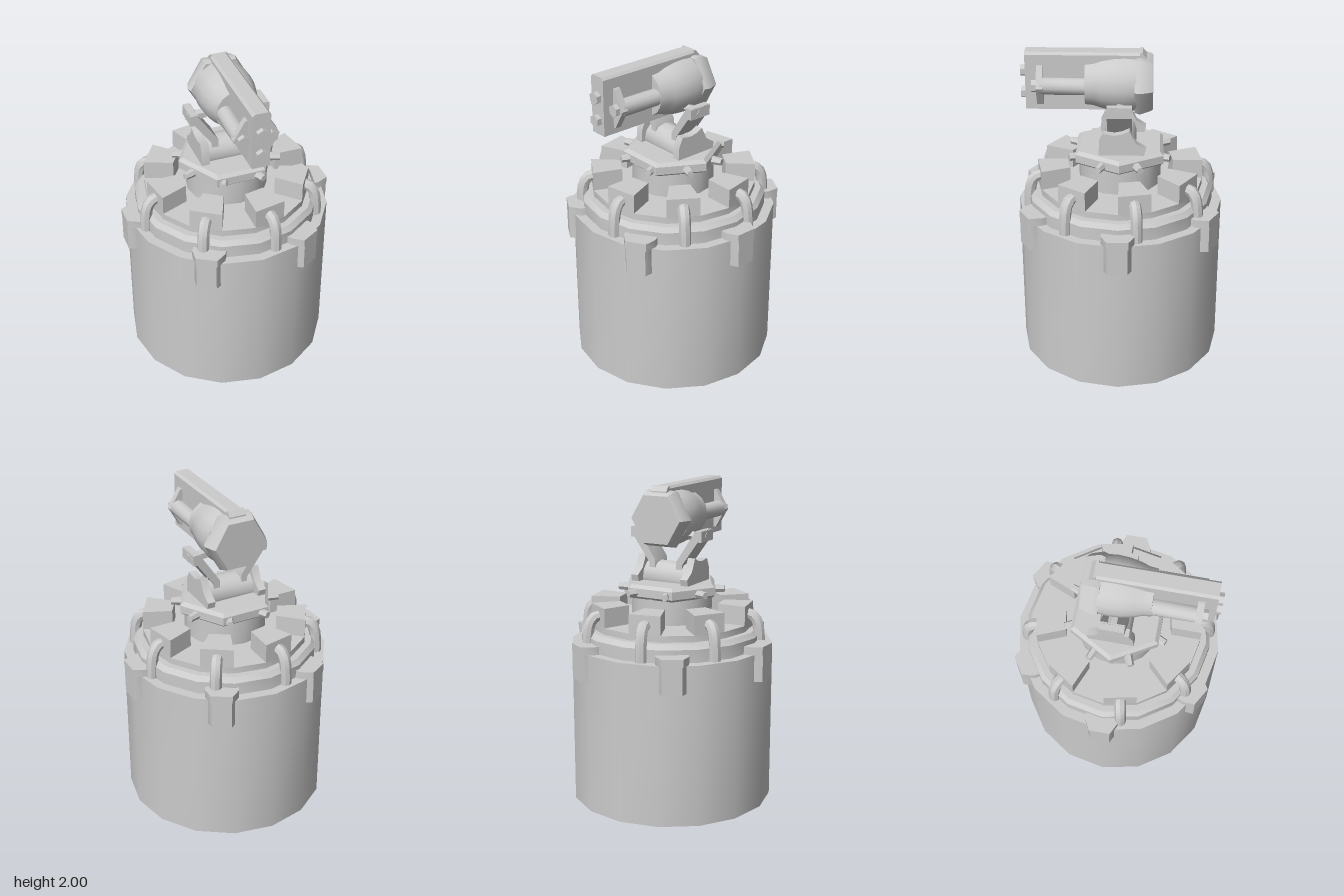
import * as THREE from 'three';
import { toCreasedNormals } from 'three/addons/utils/BufferGeometryUtils.js';

const grey = new THREE.MeshStandardMaterial({ color: 0xcccccc });
const greyOpen = new THREE.MeshStandardMaterial({ color: 0xcccccc, side: THREE.DoubleSide });
const V2 = (p) => new THREE.Vector2(p[0], p[1]);

function add(parent, name, geo, x = 0, y = 0, z = 0, mat = grey) {
  const m = new THREE.Mesh(toCreasedNormals(geo, 0.6), mat);
  m.name = name;
  m.position.set(x, y, z);
  parent.add(m);
  return m;
}

// Flat outline (x, -z) raised from y0 to y1
function slab(points, y0, y1) {
  const g = new THREE.ExtrudeGeometry(new THREE.Shape(points.map(V2)), { depth: y1 - y0, bevelEnabled: false });
  return g.rotateX(-Math.PI / 2).translate(0, y0, 0);
}

// Side outline (z, y) extruded along x, centred on x = 0
function sidePlate(points, width) {
  const s = new THREE.Shape(points.map(([z, y]) => new THREE.Vector2(-z, y)));
  const g = new THREE.ExtrudeGeometry(s, { depth: width, bevelEnabled: false });
  return g.translate(0, 0, -width / 2).rotateY(Math.PI / 2);
}

// Revolved [radius, height] profile, corners starting on the x axis
const turned = (points, sides) => new THREE.LatheGeometry(points.map(V2), sides, Math.PI / 2);
const alongZ = (points, sides) => turned(points, sides).rotateX(Math.PI / 2);

// Copies of a part around the vertical axis
function around(parent, name, count, start, build) {
  for (let i = 0; i < count; i++) {
    const g = new THREE.Group();
    g.name = name;
    g.rotation.y = -(start + (i * 2 * Math.PI) / count);
    build(g);
    parent.add(g);
  }
}

function addBase(root) {
  // Open-bottomed drum with stepped, bevelled top
  add(root, 'drumWall', new THREE.CylinderGeometry(0.64, 0.64, 1.01, 16, 1, true), 0, 0.505, 0, greyOpen);
  add(root, 'drumTop', turned([
    [0.64, 1.01], [0.58, 1.01], [0.58, 1.09], [0.555, 1.12], [0.515, 1.12], [0.515, 1.16], [0.25, 1.16],
  ], 16), 0, 0, 0, greyOpen);

  // Raised teeth, each filling every second side of the drum
  const a = Math.PI / 8;
  const c = Math.cos(a), s = Math.sin(a);
  const tooth = slab([[0.33, 0], [0.515, 0], [0.515 * c, 0.515 * s], [0.33 * c, 0.33 * s]], 1.16, 1.28);
  around(root, 'tooth', 8, 0, (g) => add(g, 'toothBlock', tooth));

  // Bent pipes from the teeth down to the ledge
  const path = new THREE.CatmullRomCurve3([
    [0.46, 1.215], [0.52, 1.215], [0.555, 1.18], [0.57, 1.11], [0.575, 1.01],
  ].map(([r, y]) => new THREE.Vector3(r, y, 0)));
  const pipe = new THREE.TubeGeometry(path, 8, 0.036, 8);
  around(root, 'pipe', 8, Math.PI * 3 / 16, (g) => add(g, 'bentPipe', pipe));

  // Hooked clamps over the drum edge
  const leg = slab([[0.57, -0.085], [0.62, -0.085], [0.67, -0.06], [0.67, 0.06], [0.62, 0.085], [0.57, 0.085]], 0.84, 1.01);
  const head = slab([[0.56, -0.1], [0.6, -0.1], [0.67, -0.065], [0.67, 0.065], [0.6, 0.1], [0.56, 0.1]], 1.01, 1.06);
  around(root, 'clamp', 6, 0, (g) => {
    add(g, 'clampLeg', leg);
    add(g, 'clampHead', head);
  });
}

function addTurntable(root) {
  add(root, 'neck', new THREE.CylinderGeometry(0.255, 0.255, 0.18, 16), 0, 1.24, 0);
  add(root, 'hexPlate', turned([
    [0, 1.315], [0.29, 1.315], [0.31, 1.33], [0.31, 1.38], [0.285, 1.4], [0, 1.4],
  ], 6));
  // Bolts around the neck
  const bolt = new THREE.CylinderGeometry(0.022, 0.03, 0.1, 6).rotateZ(-Math.PI / 2);
  around(root, 'neckBolt', 8, Math.PI / 8, (g) => add(g, 'boltHead', bolt, 0.285, 1.35, 0));
}

function addYoke(root) {
  add(root, 'tiltDrum', new THREE.CylinderGeometry(0.1, 0.1, 0.32, 12).rotateZ(Math.PI / 2), 0, 1.42, 0);

  const cheek = sidePlate([
    [0.127, 1.4], [0.122, 1.48], [0.095, 1.54], [0.03, 1.53], [-0.02, 1.54],
    [-0.06, 1.56], [-0.1, 1.48], [-0.16, 1.44], [-0.15, 1.4],
  ], 0.05);
  // Cranked arm seen from the front, extruded in depth
  const armShape = new THREE.Shape([
    [0.075, 1.4], [0.115, 1.4], [0.115, 1.51], [0.245, 1.69], [0.245, 1.73], [0.21, 1.73], [0.075, 1.53],
  ].map(V2));
  const arm = new THREE.ExtrudeGeometry(armShape, { depth: 0.15, bevelEnabled: false }).translate(0, 0, -0.075);
  const pivot = new THREE.CylinderGeometry(0.03, 0.03, 0.12, 5).rotateZ(Math.PI / 2);
  const cap = new THREE.BoxGeometry(0.05, 0.065, 0.15);
  for (const side of [-1, 1]) {
    const g = new THREE.Group();
    g.name = side > 0 ? 'leftYoke' : 'rightYoke';
    g.rotation.y = side > 0 ? 0 : Math.PI;
    add(g, 'yokeArm', arm);
    add(g, 'armCap', cap, 0.225, 1.695, 0);
    add(g, 'pivotBolt', pivot, 0.193, 1.69, 0);
    root.add(g);
    add(root, 'cheekPlate', cheek, side * 0.175, 0, 0);
  }
}

function addGun(root) {
  const gun = new THREE.Group();
  gun.name = 'gun';
  gun.position.y = 1.8;
  root.add(gun);

  // Hexagonal rear housing and rounded tapering body
  add(gun, 'rearHousing', alongZ([
    [0, -0.2], [0.168, -0.2], [0.178, -0.185], [0.2, -0.12], [0.19, -0.09], [0, -0.09],
  ], 6));
  add(gun, 'gunBody', alongZ([
    [0, -0.1], [0.172, -0.1], [0.178, -0.03], [0.174, 0.04], [0.16, 0.11], [0.143, 0.16], [0.138, 0.21], [0, 0.21],
  ], 16));

  // Tall spine plate with chamfered upper edges
  const rail = new THREE.Shape([
    [-0.055, -0.16], [0.055, -0.16], [0.055, 0.185], [0.04, 0.2], [-0.04, 0.2], [-0.055, 0.185],
  ].map(V2));
  add(gun, 'spinePlate', new THREE.ExtrudeGeometry(rail, { depth: 0.69, bevelEnabled: false }), 0, 0, -0.12);
  add(gun, 'spineTail', sidePlate([[-0.12, 0.1], [-0.12, 0.2], [-0.135, 0.2], [-0.16, 0.17], [-0.16, 0.1]], 0.11));

  // Side barrels, muzzle flange and hexagonal muzzles
  const barrel = new THREE.CylinderGeometry(0.052, 0.052, 0.34, 12).rotateX(Math.PI / 2);
  const muzzle = new THREE.CylinderGeometry(0.038, 0.038, 0.06, 6).rotateX(Math.PI / 2);
  add(gun, 'muzzleFlange', alongZ([[0, 0.46], [0.14, 0.46], [0.14, 0.5], [0, 0.5]], 6));
  for (const s of [-1, 1]) {
    add(gun, 'sideBarrel', barrel, s * 0.084, 0, 0.31);
    add(gun, 'sideMuzzle', muzzle, s * 0.085, 0, 0.5);
    add(gun, 'spineMuzzle', muzzle, 0, s * 0.07, 0.57);
  }
}

export function createModel() {
  const root = new THREE.Group();
  root.name = 'turret';
  addBase(root);
  addTurntable(root);
  addYoke(root);
  addGun(root);
  return root;
}
